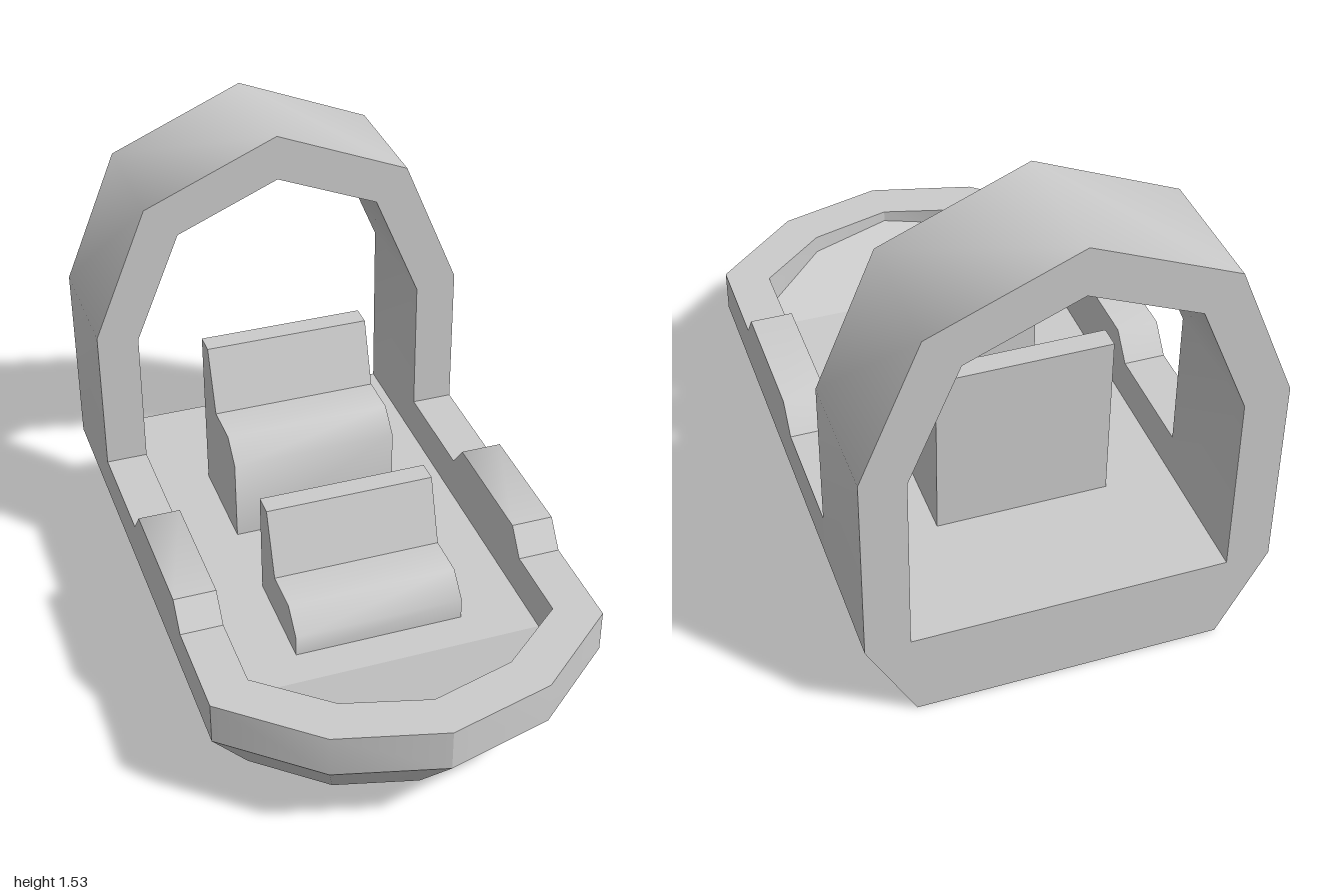
import * as THREE from 'three';
import { toCreasedNormals } from 'three/addons/utils/BufferGeometryUtils.js';

const DECK = 0.28, RIM = 0.42;

export function createModel() {
  const group = new THREE.Group();
  const material = new THREE.MeshStandardMaterial({ color: 0xcccccc });

  const add = (name, geometry, crease = 0.9) => {
    const mesh = new THREE.Mesh(toCreasedNormals(geometry, crease), material);
    mesh.name = name;
    group.add(mesh);
    return mesh;
  };

  const extrude = (points, depth) => new THREE.ExtrudeGeometry(
    new THREE.Shape(points.map(([x, y]) => new THREE.Vector2(x, y))),
    { depth, bevelEnabled: false });

  // mirror a half outline (+x side, ending at x = 0) to a full one
  const mirror = half => [
    ...half,
    ...half.filter(([x]) => x > 0).reverse().map(([x, y]) => [-x, y]),
  ];

  // outline in x/z, standing between two heights
  const slab = (points, bottom, top) =>
    extrude(points, top - bottom).rotateX(Math.PI / 2).translate(0, top, 0);

  // profile in z/y, spanning a width about x
  const across = (points, width, x = 0) =>
    extrude(points, width).rotateY(-Math.PI / 2).translate(x + width / 2, 0, 0);

  const moveVertices = (geometry, rule) => {
    const p = geometry.attributes.position;
    const v = new THREE.Vector3();
    for (let i = 0; i < p.count; i++) {
      rule(v.fromBufferAttribute(p, i));
      p.setXYZ(i, v.x, v.y, v.z);
    }
    return geometry;
  };

  const outerBow = [[0.62, 0.67], [0.34, 0.91], [0, 1]];
  const innerBow = [[0.485, 0.6], [0.27, 0.78], [0, 0.855]];

  // lower hull, tapering inwards to a flat bottom; its top is the deck
  const hull = slab(mirror([[0.62, -1], ...outerBow]), 0, DECK);
  add('lowerHull', moveVertices(hull, v => {
    if (v.y > 0.01) return;
    v.x *= 0.758;
    if (v.z > 0) v.z *= 0.76;
  }), 0.45);

  // raised rim around the cockpit, open at the rear
  const rim = [
    ...mirror([[0.62, -0.585], ...outerBow]),
    ...mirror([[0.485, -0.585], ...innerBow]).reverse(),
  ];
  add('cockpitRim', slab(rim, DECK, RIM), 0.5);

  // sloping foredeck rising to the bow
  const ramp = slab(mirror([[0.485, 0.515], ...innerBow]), DECK, RIM);
  add('bowRamp', moveVertices(ramp, v => {
    if (v.y > DECK + 0.01) v.y = DECK + (v.z - 0.515) * 0.3;
  }), 0.2);

  // rear hoop
  const arch = [
    ...mirror([[0.62, DECK], [0.62, 0.91], [0.44, 1.345], [0, 1.53]]),
    ...mirror([[0.485, DECK], [0.485, 0.88], [0.335, 1.24], [0, 1.38]]).reverse(),
  ];
  add('rearArch', extrude(arch, 0.415).translate(0, 0, -1));

  // raised side guards
  const guard = [[0.345, RIM], [0.28, 0.505], [-0.14, 0.505], [-0.21, RIM]];
  for (const side of [1, -1]) {
    add(side > 0 ? 'leftGuard' : 'rightGuard', across(guard, 0.135, side * 0.5525));
  }

  // two matching seats, the rear one on a taller base
  const seat = (name, z, y) => add(name, across([
    [z, DECK], [z + 0.35, DECK], [z + 0.35, y - 0.07], [z + 0.28, y],
    [z + 0.14, y], [z + 0.07, y + 0.21], [z, y + 0.21],
  ], 0.545));
  seat('frontSeat', 0.045, 0.42);
  seat('rearSeat', -0.585, 0.63);

  return group;
}
